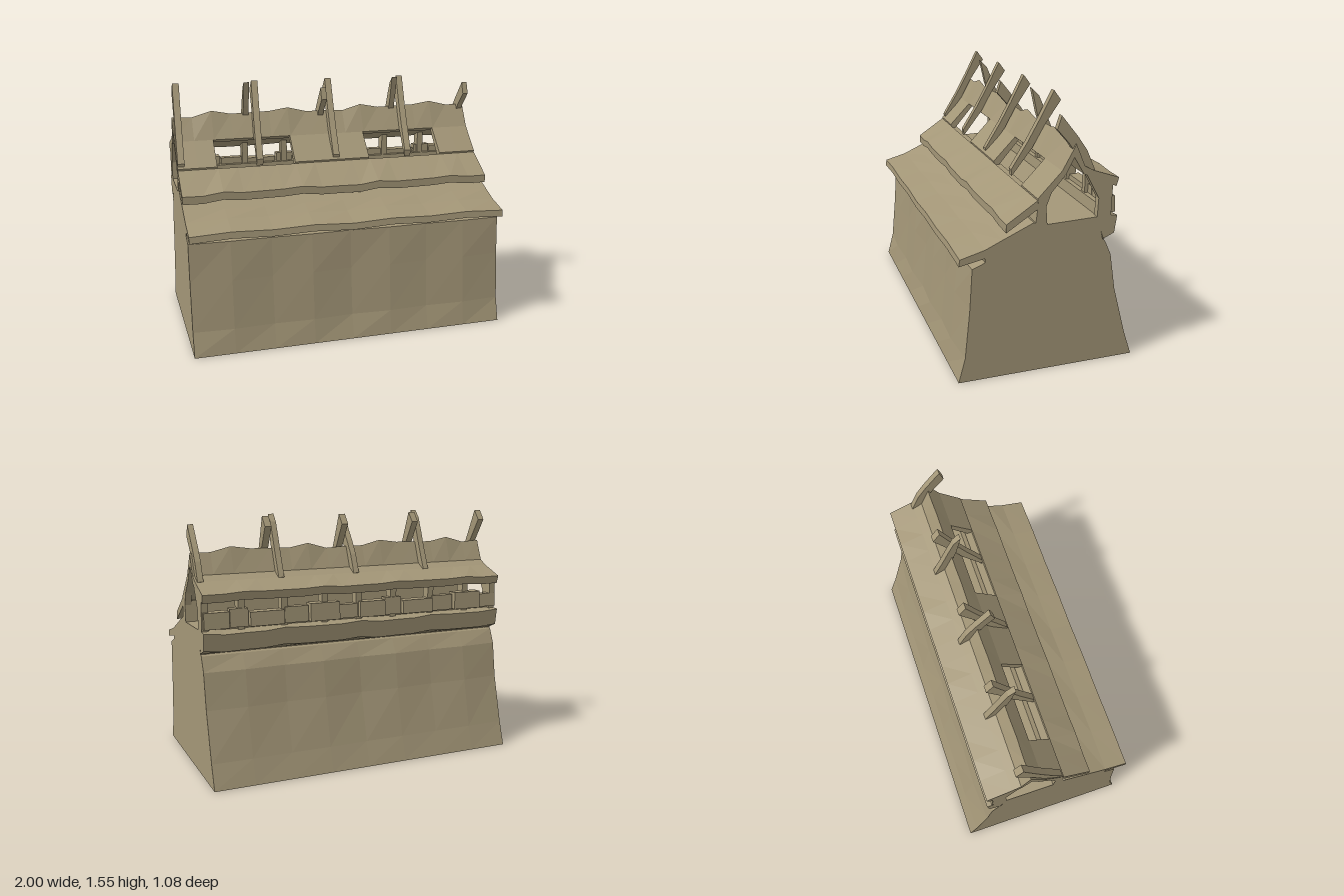
import * as THREE from 'three';

const clay = new THREE.MeshStandardMaterial({ color: 0xa39677, flatShading: true, side: THREE.DoubleSide });
clay.name = 'weathered clay';

// Repeating sag along the length, one unit per cycle
const SAG = [0, -0.2, 1, 0.2, 0.3, 0.4, 1, 0];
const wave = (x) => {
  const t = (((x % 1) + 1) % 1) * 8, i = Math.floor(t + 1e-6);
  return THREE.MathUtils.lerp(SAG[i % 8], SAG[(i + 1) % 8], Math.max(0, t - i));
};

// Sweeps a section of [z, y, sagY, sagZ] points along x, anticlockwise as seen from +x
function loft(section, x0, x1, { step = 0.125, openLast = false, lean = 0, shift = 0 } = {}) {
  const n = Math.max(1, Math.round((x1 - x0) / step));
  const pos = [];
  const at = (p, x) => {
    const w = wave(x + shift);
    const y = p[1] + (p[2] || 0) * w;
    return [x + lean * (y - 1.3), y, p[0] + (p[3] || 0) * w];
  };
  const tri = (a, b, c) => pos.push(...a, ...b, ...c);
  const edges = section.length - (openLast ? 1 : 0);
  for (let k = 0; k < n; k++) {
    const lo = x0 + ((x1 - x0) * k) / n, hi = x0 + ((x1 - x0) * (k + 1)) / n;
    for (let i = 0; i < edges; i++) {
      const p = section[i], q = section[(i + 1) % section.length];
      const a = at(p, hi), b = at(p, lo), c = at(q, lo), d = at(q, hi);
      tri(a, b, c);
      tri(a, c, d);
    }
  }
  // End caps
  const flat = section.map((p) => new THREE.Vector2(-p[0], p[1]));
  for (const [i, j, k] of THREE.ShapeUtils.triangulateShape(flat, [])) {
    tri(at(section[i], x1), at(section[j], x1), at(section[k], x1));
    tri(at(section[i], x0), at(section[k], x0), at(section[j], x0));
  }
  const g = new THREE.BufferGeometry();
  g.setAttribute('position', new THREE.Float32BufferAttribute(pos, 3));
  g.computeVertexNormals();
  return g;
}

export function createModel() {
  const model = new THREE.Group();
  const add = (name, geometry) => {
    const m = new THREE.Mesh(geometry, clay);
    m.name = name;
    model.add(m);
    return m;
  };

  // Battered base wall with the lower front eave, open underneath
  add('baseWall', loft([
    [-0.54, 0], [-0.49, 0.15, 0, -0.005], [-0.41, 0.45, 0, -0.015], [-0.375, 0.67, 0, -0.012], [-0.335, 0.76],
    [-0.32, 0.77], [-0.285, 0.91], [0.02, 0.9], [0.1, 0.92],
    [0.28, 0.84], [0.38, 0.795, 0.01], [0.525, 0.755, 0.012], [0.53, 0.715, 0.012],
    [0.38, 0.745], [0.38, 0.72], [0.455, 0.69, 0, 0.008],
    [0.47, 0.45, 0, 0.018], [0.5, 0.15, 0, 0.015], [0.54, 0],
  ], -1, 1, { step: 0.25, openLast: true }));

  // Upper roof: ridge and back slope, window strip, front eave
  add('ridgeAndBackRoof', loft([
    [-0.39, 1.08, 0.008], [-0.405, 1.13, 0.008], [-0.25, 1.185], [-0.195, 1.215], [-0.14, 1.343, 0.03],
    [-0.06, 1.2], [-0.085, 1.18], [-0.13, 1.27], [-0.19, 1.17],
  ], -1, 1));
  for (const [x0, x1] of [[-1, -0.755], [-0.255, 0.245], [0.745, 1]]) {
    add('roofBetweenWindows', loft([[-0.085, 1.18], [-0.06, 1.2], [0.08, 1.055], [0.07, 1.0]], x0, x1));
  }
  add('frontRoofEave', loft([
    [0.07, 1.0], [0.08, 1.045], [0.26, 0.925, 0.014], [0.26, 0.877, 0.014],
  ], -1, 1));

  // Attic front wall
  add('atticFrontWall', loft([[0.02, 0.89], [0.03, 1.03], [0.075, 1.03], [0.09, 0.9]], -1, 1));

  // Gable end frames
  for (const s of [-1, 1]) {
    const x0 = s > 0 ? 0.96 : -1;
    add('gableBackPost', loft([
      [-0.33, 0.77], [-0.365, 0.9], [-0.37, 1.12], [-0.25, 1.18], [-0.2, 1.18], [-0.285, 1.02], [-0.28, 0.9],
    ], x0, x0 + 0.04));
    add('gableFrontPost', loft([
      [0.02, 0.89], [0.03, 1.0], [0, 1.08], [-0.085, 1.2], [0.07, 1.04], [0.09, 0.9],
    ], x0, x0 + 0.04));
  }

  // Back wall: core, sagging lower plank, uneven blocks and short posts
  add('backWallCore', loft([[-0.325, 0.77], [-0.35, 0.98], [-0.29, 0.98], [-0.285, 0.89]], -1, 1));
  add('backLowerPlank', loft([
    [-0.33, 0.775], [-0.39, 0.79, 0.012], [-0.405, 0.895, 0.012], [-0.33, 0.915],
  ], -1, 1, { shift: 0.25 }));
  const widths = [0.13, 0.2, 0.16, 0.22, 0.12, 0.18];
  for (let x = -1, i = 0; x < 0.99; i++) {
    const end = Math.min(1, x + widths[i % 6]);
    const out = -0.37 - 0.018 * (i % 2), top = 1.01 + 0.012 * ((i * 2) % 3);
    add('backWallBlock', loft([
      [-0.32, 0.925], [out - 0.005, 0.925], [out, top], [-0.32, top],
    ], x, end - 0.008, { step: 1 }));
    x = end;
  }
  for (const x of [-0.77, -0.51, -0.24, 0.0, 0.23, 0.49, 0.76]) {
    add('backWallPost', loft([[-0.3, 0.9], [-0.36, 0.9], [-0.365, 1.12], [-0.3, 1.15]], x - 0.02, x + 0.02));
  }

  // Crossed rafters rising past the ridge
  [-0.97, -0.47, 0.03, 0.53].forEach((x, i) => {
    add('frontRafter', loft([
      [0.065, 1.045], [-0.06, 1.21], [-0.13, 1.34], [-0.23, 1.49],
      [-0.185, 1.55], [-0.1, 1.38], [-0.03, 1.25], [0.07, 1.085],
    ], x - 0.021, x + 0.021, { lean: i % 2 ? 0.05 : 0.03 }));
  });
  [-0.53, -0.03, 0.47, 0.97].forEach((x, i) => {
    const tip = i % 2 ? [[-0.055, 1.505], [-0.03, 1.43]] : [[-0.12, 1.51], [-0.075, 1.555]];
    const body = i % 2
      ? [[-0.26, 1.185], [-0.21, 1.3], [-0.155, 1.38], ...tip, [-0.1, 1.35]]
      : [[-0.26, 1.185], [-0.2, 1.32], [-0.16, 1.42], ...tip, [-0.11, 1.4]];
    add('backRafter', loft([...body, [-0.155, 1.27], [-0.21, 1.17]], x - 0.018, x + 0.018));
  });

  return model;
}
